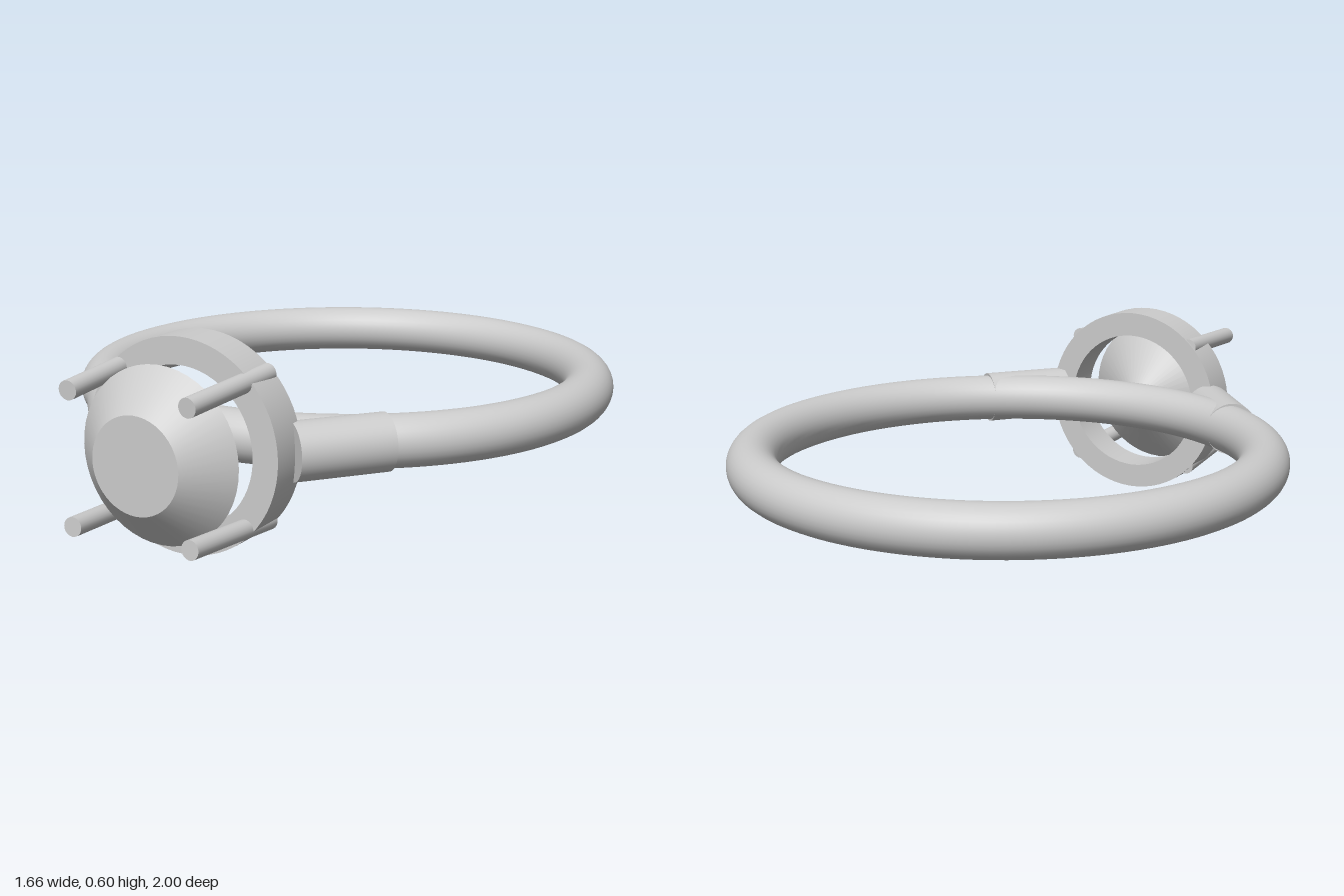
import * as THREE from 'three';
import { toCreasedNormals } from 'three/addons/utils/BufferGeometryUtils.js';

const AXIS_Y = 0.302; // height of the band's plane and of the setting's axis

export function createModel() {
  const ring = new THREE.Group();
  ring.name = 'ring';
  const material = new THREE.MeshStandardMaterial({ color: 0xcccccc });

  function add(name, geometry, parent = ring) {
    const mesh = new THREE.Mesh(geometry, material);
    mesh.name = name;
    parent.add(mesh);
    return mesh;
  }

  // Turned part around the setting's axis; profile is [radius, z] pairs
  function turned(profile, segments) {
    const points = profile.map(([r, z]) => new THREE.Vector2(r, z));
    const geometry = new THREE.LatheGeometry(points, segments).rotateX(Math.PI / 2);
    return toCreasedNormals(geometry, 0.5);
  }

  // Round bar between two points
  function bar(name, from, to, radius, segments, parent) {
    const direction = to.clone().sub(from);
    const mesh = add(name, new THREE.CylinderGeometry(radius, radius, direction.length(), segments), parent);
    mesh.position.copy(from).add(to).multiplyScalar(0.5);
    mesh.quaternion.setFromUnitVectors(new THREE.Vector3(0, 1, 0), direction.normalize());
  }

  // Finger band
  const band = add('band', new THREE.TorusGeometry(0.756, 0.075, 32, 128).rotateX(Math.PI / 2));
  band.position.set(0, AXIS_Y, -0.169);

  // Shoulders joining the band to the setting
  for (const side of [1, -1]) {
    bar(side > 0 ? 'leftShoulder' : 'rightShoulder',
      new THREE.Vector3(side * 0.453, AXIS_Y, 0.443),
      new THREE.Vector3(side * 0.28, AXIS_Y, 0.655), 0.082, 48);
  }

  // Setting: collar, stone and four prongs leaning inwards
  const setting = new THREE.Group();
  setting.name = 'setting';
  setting.position.y = AXIS_Y;
  ring.add(setting);

  add('collar', turned([[0.225, 0.64], [0.302, 0.64], [0.302, 0.76], [0.225, 0.76], [0.225, 0.64]], 64), setting);
  add('stone', turned([[0, 0.645], [0.246, 0.86], [0.135, 0.97], [0, 0.97]], 48), setting);

  for (const sx of [1, -1]) {
    for (const sy of [1, -1]) {
      bar('prong',
        new THREE.Vector3(sx * 0.204, sy * 0.204, 0.645),
        new THREE.Vector3(sx * 0.185, sy * 0.185, 0.999), 0.027, 24, setting);
    }
  }

  return ring;
}
